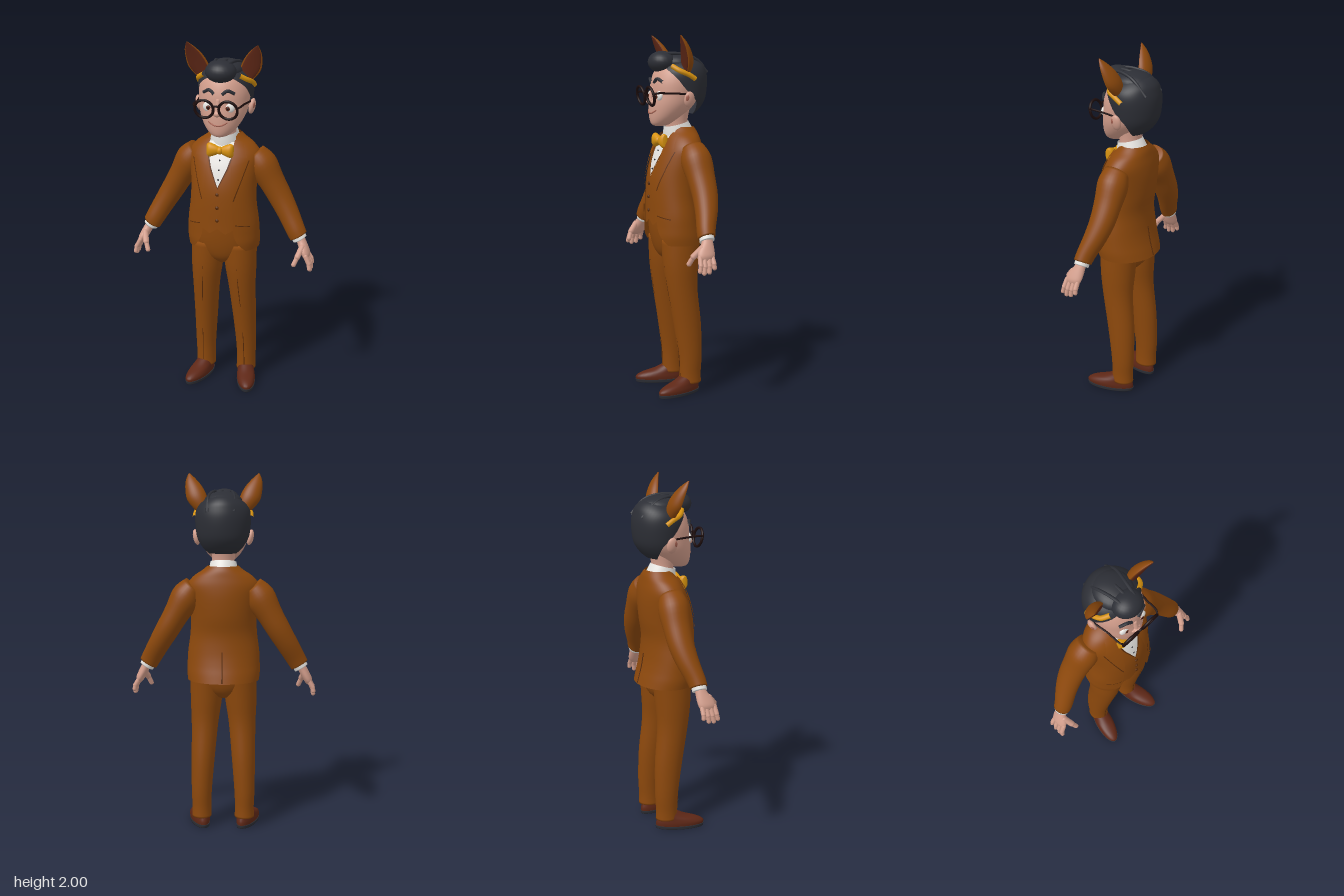
import * as THREE from 'three';
import { mergeVertices } from 'three/addons/utils/BufferGeometryUtils.js';

const TAU = Math.PI * 2;
const paint = (name, color, side = THREE.FrontSide) => {
  const m = new THREE.MeshStandardMaterial({ color, side });
  m.name = name;
  return m;
};

// Catmull-Rom between rings [x, y, z, rx, rz, tilt, startAngle, endAngle, frontFlatness]
function smooth(rings, k = 4) {
  const full = rings.map(r => [0, 0, 0, 0, 0, 0, 0, TAU, 1].map((d, i) => r[i] ?? d));
  const out = [];
  for (let i = 0; i < full.length - 1; i++) {
    const [a, b, c, d] = [-1, 0, 1, 2].map(o => full[Math.min(full.length - 1, Math.max(0, i + o))]);
    for (let s = 0; s < k; s++) {
      const t = s / k;
      out.push(b.map((v, j) => 0.5 * (2 * v + (c[j] - a[j]) * t + (2 * a[j] - 5 * v + 4 * c[j] - d[j]) * t * t
        + (3 * v - a[j] - 3 * c[j] + d[j]) * t * t * t)));
    }
  }
  out.push(full[full.length - 1]);
  return out;
}

function gridGeometry(rows) {
  const n = rows[0].length, index = [];
  for (let i = 0; i < rows.length - 1; i++) for (let j = 0; j < n - 1; j++) {
    const a = i * n + j, b = a + n;
    index.push(a, a + 1, b + 1, a, b + 1, b);
  }
  const g = new THREE.BufferGeometry();
  g.setAttribute('position', new THREE.Float32BufferAttribute(rows.flat(2), 3));
  g.setIndex(index);
  const m = mergeVertices(g, 1e-5);
  m.computeVertexNormals();
  return m;
}

// Skin over elliptical rings listed from bottom to top; angle 0 faces the front
function loft(rings, cap = true, n = 32) {
  const rs = smooth(rings);
  if (cap) {
    const shut = r => r.map((v, i) => (i === 3 || i === 4 ? 0 : v));
    rs.unshift(shut(rs[0]));
    rs.push(shut(rs[rs.length - 1]));
  }
  return gridGeometry(rs.map(([x, y, z, rx, rz, tilt, g0, g1, flat]) => Array.from({ length: n + 1 }, (_, j) => {
    const th = g0 + (g1 - g0) * j / n, u = rx * Math.sin(th), w = rz * Math.cos(th);
    return [x + u * Math.cos(tilt), y + u * Math.sin(tilt), z + (w > 0 ? w * flat : w)];
  })));
}

// Jacket body: y, z centre, half width, half depth, half width of front opening
const jacketRings = [
  [.855, -.008, .2, .162, .15], [.9, 0, .205, .158, .115], [.95, .006, .204, .15, .092], [1.02, .012, .2, .143, .085],
  [1.12, .015, .187, .14, .082], [1.22, .004, .185, .144, .08], [1.32, -.012, .195, .134, .08],
  [1.39, -.025, .2, .117, .078], [1.44, -.033, .165, .1, .075], [1.475, -.04, .115, .085, .072], [1.5, -.042, .085, .07, .065],
].map(([y, z, rx, rz, w]) => { const g = Math.asin(w / rx); return [0, y, z, rx, rz, 0, g, TAU - g]; });
const jacketFine = smooth(jacketRings, 8);

function frontZ(x, y) {
  let i = 0;
  while (i < jacketFine.length - 2 && jacketFine[i + 1][1] < y) i++;
  const a = jacketFine[i], b = jacketFine[i + 1];
  const t = THREE.MathUtils.clamp((y - a[1]) / (b[1] - a[1]), 0, 1);
  const [z, rx, rz] = [2, 3, 4].map(j => a[j] + (b[j] - a[j]) * t);
  return z + rz * Math.sqrt(Math.max(0, 1 - (x / rx) ** 2));
}

// Cloth panel between two polylines, laid on the chest
function panel(low, high, off) {
  const at = (line, t) => {
    const f = t * (line.length - 1), i = Math.min(line.length - 2, Math.floor(f));
    return [0, 1].map(k => line[i][k] + (line[i + 1][k] - line[i][k]) * (f - i));
  };
  return gridGeometry(Array.from({ length: 13 }, (_, v) => Array.from({ length: 17 }, (_, u) => {
    const p = at(low, u / 16), q = at(high, u / 16);
    const x = p[0] + (q[0] - p[0]) * v / 12, y = p[1] + (q[1] - p[1]) * v / 12;
    return [x, y, frontZ(x, y) + off];
  })));
}

function mirror(geo) {
  const g = geo.clone().scale(-1, 1, 1);
  g.setIndex(Array.from(g.index.array).reverse());
  return g;
}
const blob = (x, y, z, a, b, c, rz = 0) => new THREE.SphereGeometry(1, 24, 16).scale(a, b, c).rotateZ(rz).translate(x, y, z);
const tube = (pts, r) => new THREE.TubeGeometry(new THREE.CatmullRomCurve3(pts.map(p => new THREE.Vector3(...p))), 20, r, 8);
function capsule(p, q, r) {
  const a = new THREE.Vector3(...p), b = new THREE.Vector3(...q), d = b.clone().sub(a);
  const turn = new THREE.Quaternion().setFromUnitVectors(new THREE.Vector3(0, 1, 0), d.clone().normalize());
  const m = a.add(b).multiplyScalar(.5);
  return new THREE.CapsuleGeometry(r, d.length(), 5, 10).applyQuaternion(turn).translate(m.x, m.y, m.z);
}

export function createModel() {
  const root = new THREE.Group();
  root.name = 'suitedFigure';
  const suit = paint('suitBrown', 0x8c480c, THREE.DoubleSide), leather = paint('leatherBrown', 0x5e2716, THREE.DoubleSide);
  const skin = paint('skin', 0xd39e8c), hair = paint('hairCharcoal', 0x2c2e35, THREE.DoubleSide);
  const white = paint('white', 0xe6e4e0, THREE.DoubleSide), gold = paint('gold', 0xd8930f);
  const frame = paint('frameBlack', 0x1d0d0d), lip = paint('lip', 0xa86454), trim = paint('darkTrim', 0x5a2c08);
  const add = (name, geo, mat) => {
    const m = new THREE.Mesh(geo, mat);
    m.name = name;
    root.add(m);
  };
  const pair = (name, geo, mat) => { add(name + 'Left', geo, mat); add(name + 'Right', mirror(geo), mat); };

  // Trousers
  pair('trouserLeg', loft([[.122, .06, -.045, .056, .064], [.122, .12, -.045, .054, .063], [.122, .22, -.045, .058, .068],
    [.115, .4, -.03, .066, .08], [.106, .6, -.003, .076, .088], [.098, .74, .003, .089, .101], [.092, .88, 0, .095, .11]]), suit);
  add('hips', loft([[0, .755, 0, .03, .06], [0, .8, 0, .13, .1], [0, .88, .002, .18, .122], [0, .98, .008, .182, .128], [0, 1.06, .01, .17, .125]]), suit);
  pair('trouserCrease', tube([[.125, .1, .017], [.122, .25, .026], [.117, .42, .05], [.106, .6, .084], [.098, .74, .102]], .0025), trim);

  // Shoes
  const turnOut = g => g.rotateY(.27).translate(.14, 0, .03);
  pair('sole', turnOut(loft([[0, 0, 0, .052, .138], [0, .018, 0, .054, .142]])), hair);
  pair('shoe', turnOut(loft([[0, .016, 0, .051, .138], [0, .035, 0, .053, .138], [0, .055, -.014, .05, .118],
    [0, .075, -.045, .045, .08], [0, .1, -.07, .038, .052]])), leather);

  // Jacket with sleeves, lapels and pockets
  add('jacket', loft(jacketRings, false, 48), suit);
  pair('sleeve', loft([[.427, .94, .002, .052, .047, .54], [.405, .98, -.006, .055, .052, .54], [.36, 1.06, -.03, .06, .062, .54],
    [.31, 1.145, -.045, .066, .07, .54], [.258, 1.235, -.046, .072, .077, .56], [.205, 1.325, -.042, .085, .085, .62],
    [.165, 1.385, -.04, .06, .068, .8]]), suit);
  pair('lapel', panel([[.088, 1.16], [.125, 1.27], [.155, 1.37], [.145, 1.39], [.115, 1.46]],
    [[.08, 1.16], [.076, 1.25], [.068, 1.34], [.066, 1.4], [.07, 1.475]], .008), suit);
  pair('lapelEdge', panel([[.092, 1.155], [.129, 1.27], [.159, 1.372]], [[.087, 1.16], [.124, 1.27], [.154, 1.372]], .0085), trim);
  pair('pocketFlap', panel([[.1, 1.02], [.135, 1.01], [.172, 1.005]], [[.1, 1.06], [.135, 1.055], [.172, 1.05]], .009), suit);
  pair('pocketSeam', panel([[.1, 1.015], [.172, 1]], [[.1, 1.02], [.172, 1.005]], .0095), trim);
  add('breastPocket', panel([[.105, 1.288], [.155, 1.3]], [[.105, 1.302], [.155, 1.314]], .007), suit);
  add('backVent', tube([[0, .86, -.17], [0, .95, -.146], [0, 1.03, -.132]], .003), trim);

  // Waistcoat, shirt and bow tie
  pair('waistcoat', panel([[0, .992], [.045, .96], [.11, 1.0]], [[0, 1.225], [.05, 1.33], [.08, 1.43]], -.004), suit);
  pair('waistcoatEdge', panel([[0, 1.22], [.05, 1.325], [.08, 1.42]], [[0, 1.227], [.045, 1.333], [.075, 1.43]], -.002), trim);
  for (const y of [1.19, 1.115, 1.04]) add('button', blob(0, y, frontZ(0, y), .01, .01, .006), trim);
  add('shirtFront', panel([[-.03, 1.2], [0, 1.2], [.03, 1.2]], [[-.09, 1.455], [0, 1.475], [.09, 1.455]], -.009), white);
  for (const y of [1.27, 1.32, 1.37]) add('shirtButton', blob(0, y, frontZ(0, y) - .006, .005, .005, .003), hair);
  add('collar', loft([[0, -.045, 0, .088, .09], [0, 0, 0, .079, .08], [0, .034, 0, .072, .07]], false).rotateX(.25).translate(0, 1.485, -.02), white);
  pair('bow', loft([[0, 0, 0, .014, .012], [0, .025, 0, .028, .022], [0, .058, 0, .039, .026], [0, .074, 0, .033, .012]])
    .rotateZ(-Math.PI / 2).translate(0, 1.425, .086), gold);
  add('bowKnot', blob(0, 1.425, .092, .018, .022, .022), gold);

  // Cuffs and hands
  pair('cuff', loft([[.437, .922, .004, .041, .04, .54], [.425, .945, .002, .041, .04, .54]]), white);
  pair('palm', loft([[.487, .825, .032, .012, .034, .45], [.48, .845, .028, .022, .047, .45], [.465, .875, .022, .025, .047, .45],
    [.445, .915, .008, .025, .033, .5], [.43, .945, .004, .024, .03, .5]]), skin);
  [[.066, .077, .77], [.042, .053, .758], [.018, .024, .762], [-.004, -.006, .782]].forEach(([z0, z1, tip], i) => {
    const mid = [.503, (.84 + tip) / 2, (z0 + z1) / 2];
    pair('finger' + (i + 1), capsule([.482, .845, z0], mid, .0135), skin);
    pair('fingertip' + (i + 1), capsule(mid, [.507, tip + .008, z1], .0125), skin);
  });
  pair('thumb', capsule([.458, .89, .045], [.44, .845, .085], .017), skin);
  pair('thumbTip', capsule([.44, .845, .085], [.424, .805, .103], .0135), skin);

  // Head and face
  add('neck', loft([[0, 1.44, -.025, .07, .068], [0, 1.52, -.015, .062, .062], [0, 1.6, -.01, .07, .08]]), skin);
  add('head', loft([[0, 1.507, .085, .025, .032], [0, 1.52, .078, .055, .056], [0, 1.56, .052, .093, .09], [0, 1.62, .017, .125, .125],
    [0, 1.68, 0, .136, .134], [0, 1.75, -.018, .141, .145], [0, 1.82, -.03, .122, .128], [0, 1.86, -.035, .07, .075]]), skin);
  add('nose', blob(0, 1.643, .143, .021, .018, .022), skin);
  add('noseBridge', capsule([0, 1.65, .141], [0, 1.71, .127], .013), skin);
  pair('nostril', blob(.018, 1.638, .135, .012, .011, .013), skin);
  pair('ear', blob(.149, 1.655, -.025, .018, .044, .03, -.2), skin);
  pair('earHollow', blob(.157, 1.66, -.015, .01, .024, .016, -.2), lip);
  pair('eye', blob(.056, 1.672, .112, .032, .029, .017), white);
  pair('iris', blob(.054, 1.67, .127, .012, .013, .004), leather);
  pair('pupil', blob(.054, 1.67, .1295, .006, .007, .003), frame);
  pair('eyebrow', tube([[.022, 1.745, .128], [.05, 1.765, .122], [.085, 1.748, .104]], .009), hair);
  add('mouth', tube([[-.052, 1.595, .128], [-.025, 1.58, .141], [0, 1.576, .144], [.025, 1.58, .141], [.052, 1.595, .128]], .004), lip);

  // Hair: shell open around the face, with a swept quiff
  const shell = (y, z, rx, rz, g) => [0, y, z, rx, rz, 0, g, TAU - g];
  add('hair', loft([shell(1.57, -.05, .085, .055, 2.1), shell(1.6, -.048, .115, .092, 1.95), shell(1.65, -.047, .14, .125, 1.75),
    shell(1.71, -.045, .15, .139, 1.3), shell(1.77, -.04, .153, .146, 1.0), shell(1.815, -.04, .142, .138, .6),
    shell(1.85, -.048, .112, .116, .1), shell(1.88, -.055, .065, .072, 0), shell(1.89, -.057, .001, .001, 0)], false, 40), hair);
  add('quiff', blob(0, 1.856, .072, .085, .06, .077), hair);
  add('crown', blob(0, 1.85, -.03, .105, .055, .115), hair);
  for (const x of [-.05, .01, .06])
    add('hairStrand', tube([[x * .7, 1.9, .08], [x, 1.9, -.01], [x * 1.3, 1.875, -.09], [x * 1.3, 1.8, -.165]], .009), hair);

  // Animal ears on a headband
  const earRings = [[.11, 1.785, -.012, .02, .02], [.122, 1.82, -.012, .042, .034], [.147, 1.87, -.002, .055, .042],
    [.166, 1.92, .013, .047, .036], [.184, 1.965, .031, .028, .022], [.194, 2, .048, .003, .003]];
  pair('animalEar', loft(earRings.map(r => [...r, -.25, 0, TAU, .2])), suit);
  pair('animalEarInner', loft(earRings.map(([x, y, z, a, b]) => [x, y, z + .003, a * .86, b, -.25, -Math.PI / 2, Math.PI / 2, .25]), false), leather);
  pair('headband', tube([[.153, 1.765, -.06], [.15, 1.79, -.02], [.135, 1.81, .025], [.098, 1.835, .055]], .014), gold);

  // Glasses
  pair('rim', new THREE.TorusGeometry(.051, .0075, 10, 36).rotateX(.2).translate(.066, 1.672, .169), frame);
  add('bridge', tube([[-.018, 1.685, .171], [0, 1.692, .174], [.018, 1.685, .171]], .006), frame);
  pair('temple', tube([[.116, 1.685, .17], [.127, 1.69, .155], [.132, 1.688, .07], [.145, 1.684, -.02]], .0055), frame);

  return root;
}
